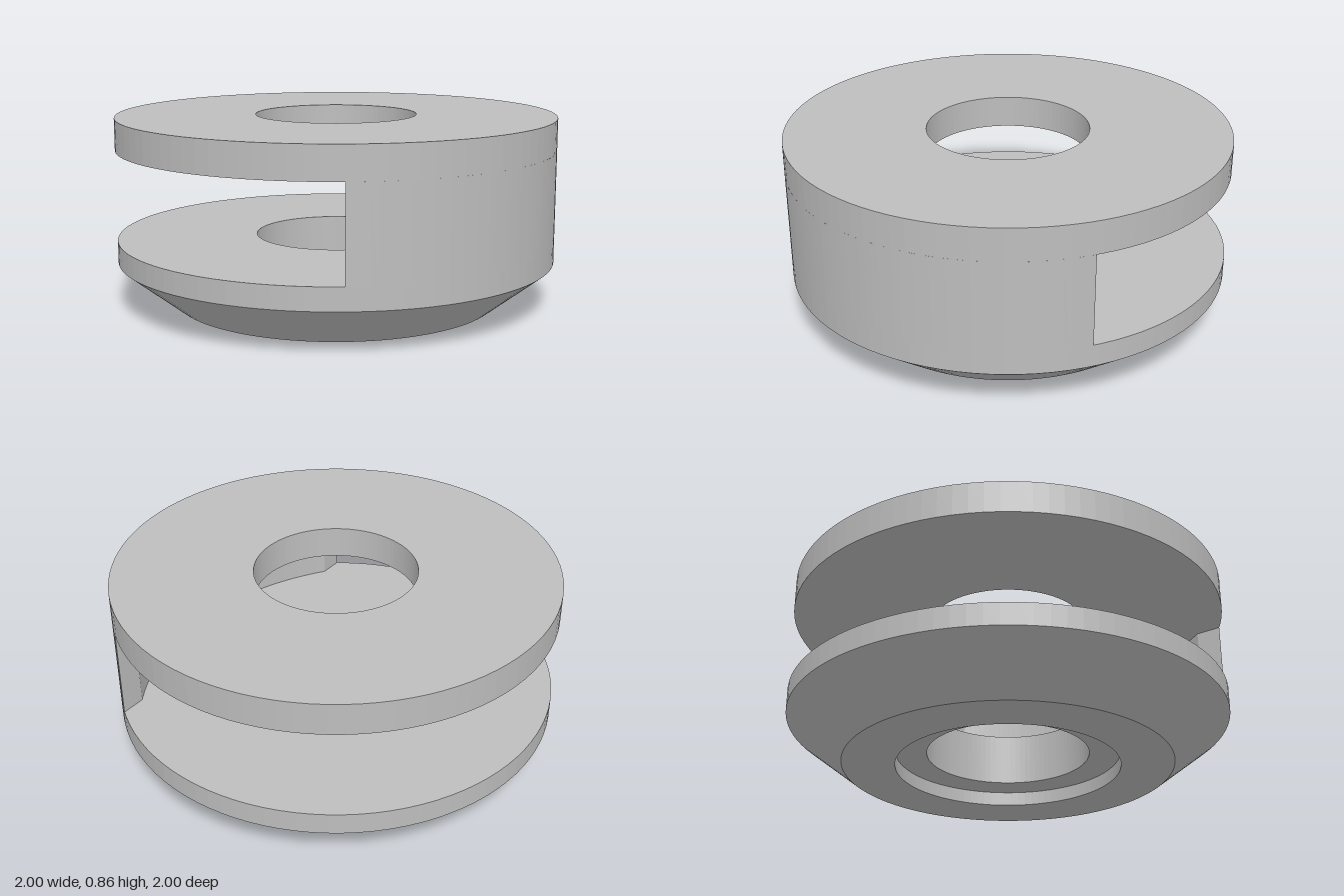
import * as THREE from 'three';

const SIDES = 96;
const BORE = 0.366;      // radius of the central hole
const GAP_LOW = 0.3;     // slot between the two discs
const GAP_HIGH = 0.71;
const TOP = 0.855;

export function createModel() {
  const grey = new THREE.MeshStandardMaterial({ color: 0xbdbdbd, flatShading: true });
  grey.name = 'grey metal';
  const group = new THREE.Group();
  group.name = 'slottedCollar';

  const add = (name, geometry) => {
    const mesh = new THREE.Mesh(geometry, grey);
    mesh.name = name;
    group.add(mesh);
    return mesh;
  };

  // Closed profile turned round the y axis: outside upwards, inside downwards
  const ring = (name, profile) =>
    add(name, new THREE.LatheGeometry(
      [...profile, profile[0]].map(([r, y]) => new THREE.Vector2(r, y)), SIDES));

  // Lower disc with chamfered edge and a shallow counterbore underneath
  ring('lowerDisc', [
    [0.506, 0], [0.745, 0], [1, 0.2], [1, GAP_LOW],
    [BORE, GAP_LOW], [BORE, 0.064], [0.506, 0.064],
  ]);

  // Upper disc
  ring('upperDisc', [[BORE, GAP_HIGH], [1, GAP_HIGH], [1, TOP], [BORE, TOP]]);

  // Side wall joining the discs: round outside, short flat ends, hollowed inside
  const endX = 0.58, flatZ = 0.7, hollowX = -0.43;
  const outerAngle = Math.acos(endX);
  const hollowRadius = Math.hypot(endX - hollowX, flatZ);
  const hollowAngle = Math.atan2(flatZ, endX - hollowX);
  const section = new THREE.Shape();
  section.absarc(0, 0, 1, -outerAngle, outerAngle, false);
  section.lineTo(endX, flatZ);
  section.absarc(hollowX, 0, hollowRadius, hollowAngle, -hollowAngle, true);
  section.closePath();
  const wall = new THREE.ExtrudeGeometry(section, {
    depth: GAP_HIGH - GAP_LOW, bevelEnabled: false, curveSegments: 29,
  });
  wall.rotateX(-Math.PI / 2);
  wall.translate(0, GAP_LOW, 0);
  add('sideWall', wall);

  return group;
}
